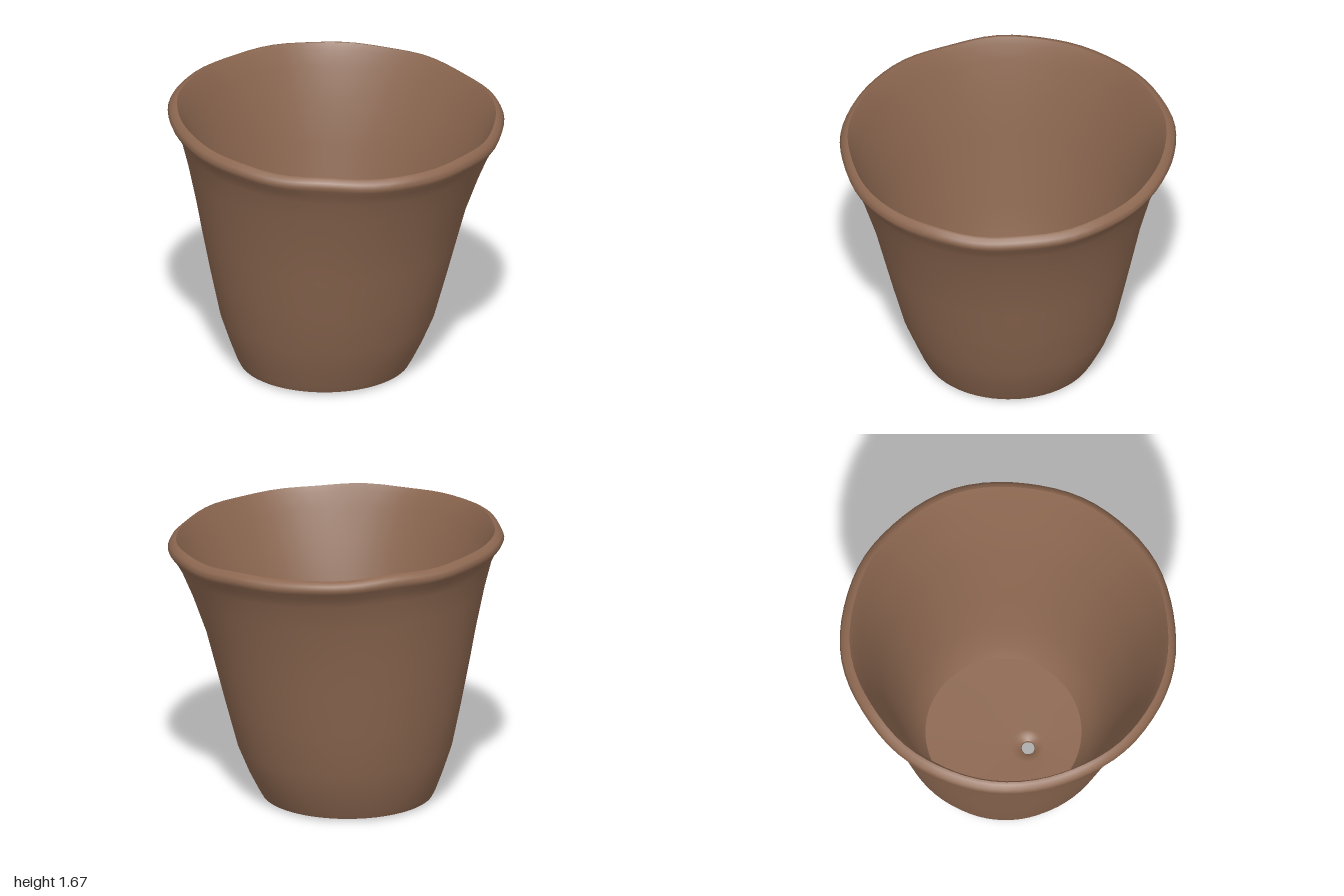
import * as THREE from 'three';

const SEGMENTS = 72;

// Each ring: [height, radius, centre x, centre z, tilt amount, waviness]
const outside = [
  [0.018, 0.508, -0.055, -0.05, 0, 0],
  [0.06, 0.53, -0.053, -0.05, 0, 0],
  [0.17, 0.578, -0.045, -0.05, 0, 0],
  [0.33, 0.638, -0.04, -0.045, 0.1, 0],
  [0.6, 0.702, -0.035, -0.035, 0.2, 0],
  [0.85, 0.758, -0.03, -0.027, 0.4, 0],
  [1.05, 0.802, -0.025, -0.02, 0.6, 0],
  [1.3, 0.872, -0.012, -0.005, 0.8, 0.2],
  [1.45, 0.922, -0.003, 0, 1, 0.4],
  [1.515, 0.955, 0, 0, 1, 0.6],
  [1.555, 0.985, 0, -0.003, 1, 0.8],
  [1.583, 0.997, 0, -0.005, 1, 1],
  [1.608, 0.985, 0, -0.005, 1, 1],
  [1.625, 0.962, 0, 0, 1, 1],
  [1.63, 0.945, 0, 0.002, 1, 1],
];
const inside = [
  [1.63, 0.945, 0, 0.002, 1, 1],
  [1.59, 0.925, 0, 0.002, 1, 0.6],
  [1.5, 0.89, -0.003, 0, 1, 0.3],
  [1.3, 0.822, -0.012, -0.005, 0.8, 0],
  [1.05, 0.752, -0.025, -0.02, 0.6, 0],
  [0.6, 0.65, -0.035, -0.035, 0.2, 0],
  [0.33, 0.582, -0.035, -0.045, 0.1, 0],
  [0.17, 0.52, -0.03, -0.05, 0, 0],
  [0.08, 0.463, -0.027, -0.055, 0, 0],
];
const floor = [
  [0.08, 0.463, -0.027, -0.055, 0, 0],
  [0.074, 0.28, -0.09, -0.02, 0, 0],
  [0.07, 0.1, -0.168, 0.025, 0, 0],
  [0.062, 0.065, -0.174, 0.03, 0, 0],
  [0.045, 0.042, -0.175, 0.03, 0, 0],
];
const hole = [
  [0.045, 0.042, -0.175, 0.03, 0, 0],
  [0.035, 0.038, -0.175, 0.03, 0, 0],
  [0.022, 0.042, -0.175, 0.03, 0, 0],
];
const underside = [
  [0.022, 0.042, -0.175, 0.03, 0, 0],
  [0.01, 0.065, -0.174, 0.03, 0, 0],
  [0.004, 0.1, -0.168, 0.025, 0, 0],
  [0.002, 0.28, -0.09, -0.01, 0, 0],
  [0.018, 0.508, -0.055, -0.05, 0, 0],
];

// Skin a stack of rings with a smooth closed surface
function skin(rings) {
  const positions = [], index = [];
  rings.forEach(([y, r, cx, cz, tilt, wave], i) => {
    for (let j = 0; j < SEGMENTS; j++) {
      const t = (j / SEGMENTS) * Math.PI * 2;
      // Hand-formed unevenness around the lip
      const dr = wave * (0.004 * Math.sin(5 * t + 1) + 0.003 * Math.sin(9 * t));
      const dy = wave * (0.004 * Math.sin(7 * t) + 0.003 * Math.sin(12 * t + 2));
      const x = Math.cos(t) * (r + dr), z = Math.sin(t) * (r + dr);
      positions.push(cx + x, y + dy - tilt * (0.022 * x + 0.036 * z), cz + z);
      if (i < rings.length - 1) {
        const a = i * SEGMENTS + j, b = i * SEGMENTS + ((j + 1) % SEGMENTS);
        index.push(a, a + SEGMENTS, b, b, a + SEGMENTS, b + SEGMENTS);
      }
    }
  });
  const geometry = new THREE.BufferGeometry();
  geometry.setAttribute('position', new THREE.Float32BufferAttribute(positions, 3));
  geometry.setIndex(index);
  geometry.computeVertexNormals();
  return geometry;
}

export function createModel() {
  const clay = new THREE.MeshStandardMaterial({ color: 0x8c6750 });
  clay.name = 'brown clay';

  const pot = new THREE.Group();
  pot.name = 'flowerPot';
  const parts = { outerWallAndRim: outside, innerWall: inside, potFloor: floor, drainHole: hole, underside };
  for (const [name, rings] of Object.entries(parts)) {
    const mesh = new THREE.Mesh(skin(rings), clay);
    mesh.name = name;
    pot.add(mesh);
  }
  return pot;
}
